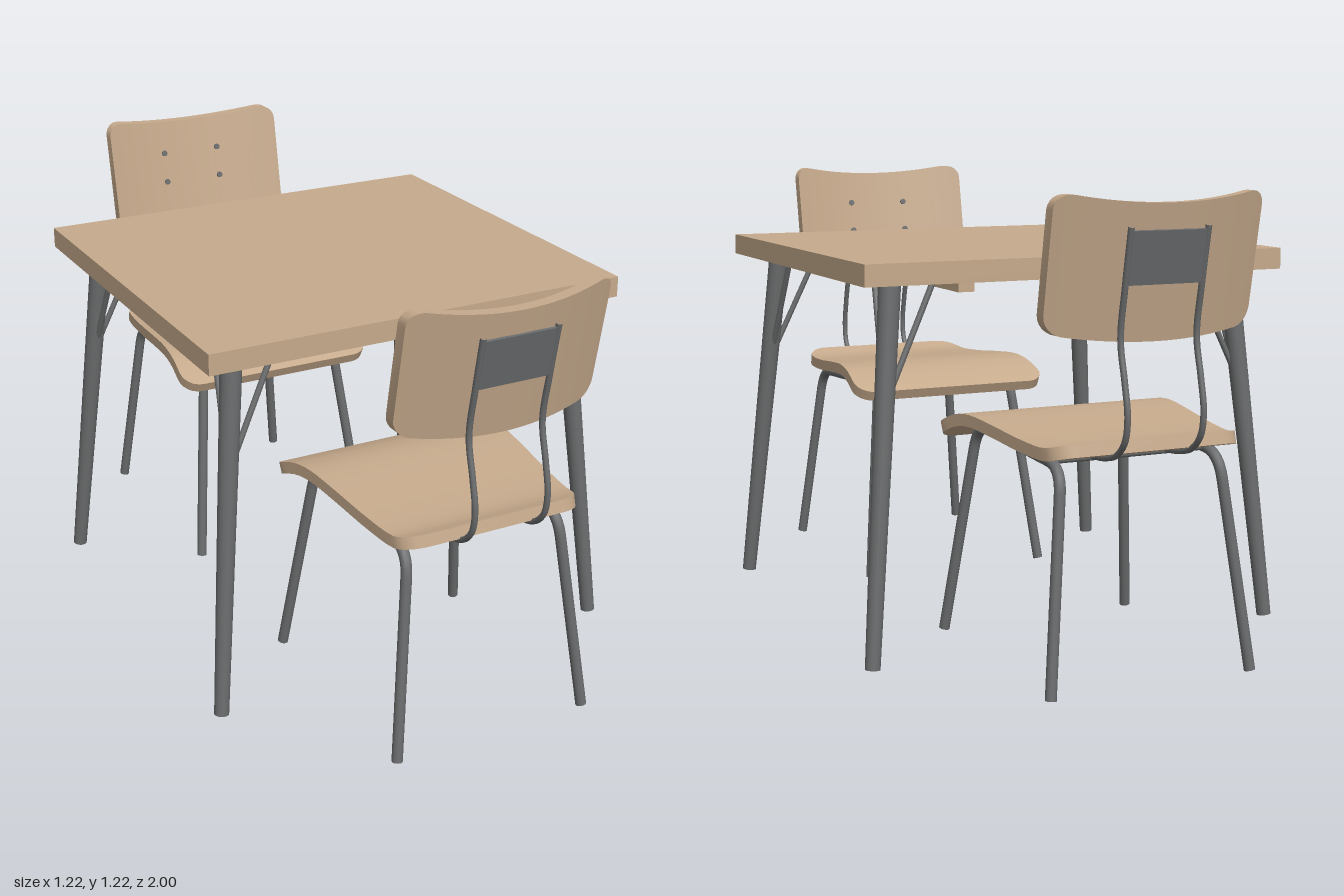
import * as THREE from 'three';
import { toCreasedNormals } from 'three/addons/utils/BufferGeometryUtils.js';

const wood = new THREE.MeshStandardMaterial({ color: 0xc6aa8c });
wood.name = 'lightWood';
const metal = new THREE.MeshStandardMaterial({ color: 0x6a6b6c });
metal.name = 'greyMetal';

const V = (x, y, z) => new THREE.Vector3(x, y, z);

function add(parent, name, geometry, material) {
  const mesh = new THREE.Mesh(geometry, material);
  mesh.name = name;
  parent.add(mesh);
  return mesh;
}

// Straight round bar between two points, optionally tapered
function bar(parent, name, a, b, ra, rb = ra) {
  const dir = b.clone().sub(a);
  const mesh = add(parent, name, new THREE.CylinderGeometry(rb, ra, dir.length(), 16), metal);
  mesh.position.copy(a).add(b).multiplyScalar(0.5);
  mesh.quaternion.setFromUnitVectors(V(0, 1, 0), dir.normalize());
}

// Slab with four-cornered cross-sections and closed ends
function loft(sections) {
  const pos = [];
  const quad = (a, b, c, d) => [a, b, c, a, c, d].forEach(p => pos.push(p.x, p.y, p.z));
  for (let i = 0; i < sections.length - 1; i++) {
    const a = sections[i], b = sections[i + 1];
    for (let j = 0; j < 4; j++) {
      const k = (j + 1) % 4;
      quad(a[j], a[k], b[k], b[j]);
    }
  }
  const s = sections[0], e = sections[sections.length - 1];
  quad(s[3], s[2], s[1], s[0]);
  quad(e[0], e[1], e[2], e[3]);
  const g = new THREE.BufferGeometry();
  g.setAttribute('position', new THREE.Float32BufferAttribute(pos, 3));
  return toCreasedNormals(g, 0.6);
}

// Positions along a slab from -half to half, with the edge inset that rounds its corners
function stations(half, r) {
  const list = [], n = 6, mid = 18;
  for (let i = n; i >= 0; i--) {
    const a = (i / n) * Math.PI / 2;
    list.push([-half + r - r * Math.sin(a), r * (1 - Math.cos(a))]);
  }
  for (let i = 1; i < mid; i++) list.push([(i / mid * 2 - 1) * (half - r), 0]);
  for (let i = 0; i <= n; i++) {
    const a = (i / n) * Math.PI / 2;
    list.push([half - r + r * Math.sin(a), r * (1 - Math.cos(a))]);
  }
  return list;
}

// Rear plane of the tilted backrest
const SLOPE = 0.19;
const backZ = y => 0.935 + (y - 0.86) * SLOPE;
const sag = x => 0.055 * (x / 0.285) ** 2;

function backrest() {
  return loft(stations(0.285, 0.045).map(([x, inset]) => {
    const t = (x / 0.285) ** 2;
    const top = 1.195 + 0.03 * t - inset, bottom = 0.86 + 0.025 * t + inset;
    const p = (y, depth) => V(x, y, backZ(y) - sag(x) - depth);
    return [p(top, 0.035), p(top, 0), p(bottom, 0), p(bottom, 0.035)];
  }));
}

function seat() {
  const path = new THREE.CatmullRomCurve3([
    V(0, 0.606, 0.925), V(0, 0.59, 0.86), V(0, 0.592, 0.75), V(0, 0.606, 0.6),
    V(0, 0.613, 0.49), V(0, 0.605, 0.42), V(0, 0.58, 0.35), V(0, 0.555, 0.3)]);
  const length = path.getLength();
  return loft(stations(length / 2, 0.06).map(([s, inset]) => {
    const u = THREE.MathUtils.clamp(s / length + 0.5, 0, 1);
    const c = path.getPointAt(u), t = path.getTangentAt(u);
    const w = 0.315 - (c.z - 0.3) * 0.09 - inset;
    const n = V(0, -t.z, t.y).multiplyScalar(0.016);
    const p = (x, side) => V(x, c.y + n.y * side, c.z + n.z * side);
    return [p(-w, 1), p(w, 1), p(w, -1), p(-w, -1)];
  }));
}

// Bent side frame: rear leg, seat rail and front leg from one tube
function sideFrame(s) {
  const p = (y, z) => V(s * (0.283 - 0.062 * y / 0.57), y, z);
  const path = new THREE.CurvePath();
  path.add(new THREE.LineCurve3(p(0, 0.94), p(0.49, 0.876)));
  path.add(new THREE.QuadraticBezierCurve3(p(0.49, 0.876), p(0.558, 0.867), p(0.56, 0.8)));
  path.add(new THREE.LineCurve3(p(0.56, 0.8), p(0.577, 0.44)));
  path.add(new THREE.QuadraticBezierCurve3(p(0.577, 0.44), p(0.58, 0.372), p(0.51, 0.363)));
  path.add(new THREE.LineCurve3(p(0.51, 0.363), p(0, 0.285)));
  return new THREE.TubeGeometry(path, 90, 0.0145, 12);
}

function createChair() {
  const chair = new THREE.Group();
  chair.name = 'chair';
  add(chair, 'seat', seat(), wood);
  add(chair, 'backrest', backrest(), wood);

  const tilt = Math.atan(SLOPE);
  for (const s of [-1, 1]) {
    add(chair, 'sideFrame', sideFrame(s), metal);
    // Leg end caps
    bar(chair, 'foot', V(s * 0.283, 0, 0.94), V(s * 0.282, 0.006, 0.939), 0.0145);
    bar(chair, 'foot', V(s * 0.283, 0, 0.285), V(s * 0.282, 0.006, 0.286), 0.0145);

    // Rod rising from under the seat to the backrest
    const x = s * 0.105;
    const rod = new THREE.CatmullRomCurve3([
      V(x, 1.14, backZ(1.14) + 0.002), V(x, 1.0, backZ(1.0) + 0.002), V(x, 0.87, 0.944),
      V(x, 0.77, 0.967), V(x, 0.69, 0.983), V(x, 0.63, 0.973), V(x, 0.59, 0.935),
      V(x, 0.57, 0.87), V(x, 0.565, 0.78), V(x, 0.579, 0.43)], false, 'centripetal');
    add(chair, 'backRod', new THREE.TubeGeometry(rod, 80, 0.008, 10), metal);

    // Bolts through the backrest
    for (const y of [1.01, 1.1]) {
      const bolt = add(chair, 'bolt', new THREE.CylinderGeometry(0.009, 0.009, 0.008, 12), metal);
      bolt.position.set(s * 0.092, y, backZ(y) - sag(0.092) - 0.036);
      bolt.rotation.x = tilt - Math.PI / 2;
    }
  }

  const plate = add(chair, 'backPlate', new THREE.BoxGeometry(0.21, 0.132, 0.008), metal);
  plate.position.set(0, 1.066, backZ(1.066) + 0.003);
  plate.rotation.x = tilt;

  // Cross rods under the seat
  for (const [y, z] of [[0.574, 0.44], [0.567, 0.62], [0.56, 0.8]])
    bar(chair, 'crossRod', V(-0.222, y, z), V(0.222, y, z), 0.009);
  return chair;
}

function createTable() {
  const table = new THREE.Group();
  table.name = 'table';
  add(table, 'tableTop', new THREE.BoxGeometry(1.21, 0.057, 1.11), wood).position.y = 1.0075;
  for (const sx of [-1, 1]) {
    add(table, 'batten', new THREE.BoxGeometry(0.045, 0.038, 0.88), wood).position.set(sx * 0.282, 0.962, 0);
    for (const sz of [-1, 1]) {
      const p = (x, y, z) => V(sx * x, y, sz * z);
      bar(table, 'tableLeg', p(0.59, 0, 0.54), p(0.5, 0.98, 0.455), 0.02, 0.029);
      bar(table, 'legBrace', p(0.525, 0.67, 0.478), p(0.38, 0.98, 0.455), 0.008);
      bar(table, 'legBrace', p(0.525, 0.67, 0.478), p(0.5, 0.98, 0.345), 0.008);
    }
  }
  return table;
}

export function createModel() {
  const model = new THREE.Group();
  model.name = 'diningSet';
  model.add(createTable());
  const front = createChair();
  const rear = createChair();
  rear.rotation.y = Math.PI;
  model.add(front, rear);
  return model;
}
